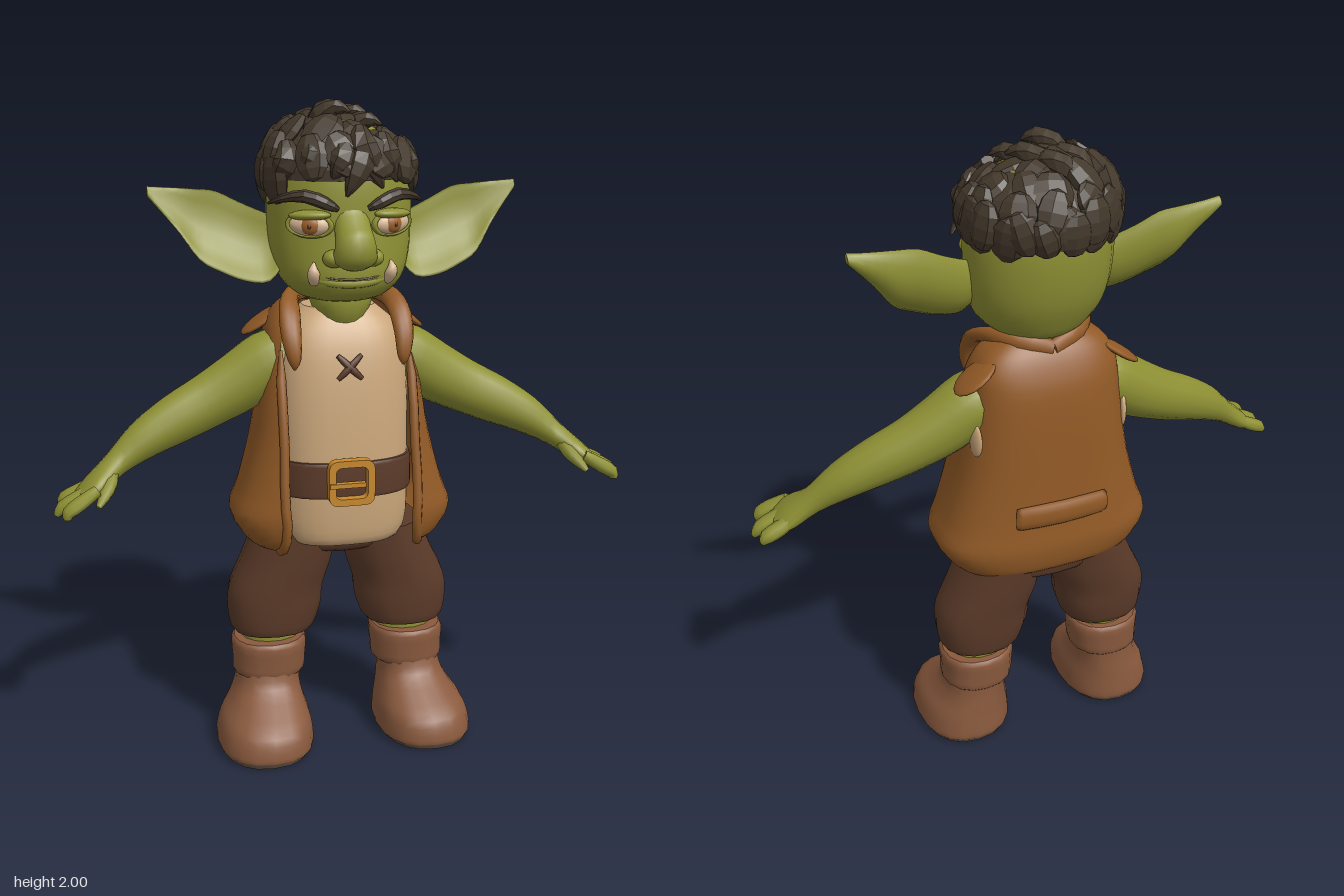
import * as THREE from 'three';

const mat = (name, color, extra = {}) => {
  const m = new THREE.MeshStandardMaterial({ color, ...extra });
  m.name = name;
  return m;
};
const V = (x, y, z) => new THREE.Vector3(x, y, z);
const pow = (v, p) => Math.sign(v) * Math.abs(v) ** p;

// Catmull-Rom smoothing of rows of numbers
function smooth(rows, steps = 3) {
  const out = [];
  for (let i = 0; i < rows.length - 1; i++) {
    const [a, b, c, d] = [-1, 0, 1, 2].map(k => rows[Math.min(rows.length - 1, Math.max(0, i + k))]);
    for (let s = 0; s < steps; s++) {
      const t = s / steps;
      out.push(b.map((_, k) => b[k] + 0.5 * t * (c[k] - a[k] + t * (2 * a[k] - 5 * b[k] + 4 * c[k] - d[k]
        + t * (3 * (b[k] - c[k]) + d[k] - a[k])))));
    }
  }
  out.push(rows[rows.length - 1]);
  return out;
}

// Skin a list of rings; closed rings get end caps
function loft(rings, closed = true) {
  const n = rings[0].length, pos = [], idx = [];
  rings.forEach(r => r.forEach(p => pos.push(p.x, p.y, p.z)));
  for (let i = 0; i < rings.length - 1; i++) {
    for (let j = 0; j < (closed ? n : n - 1); j++) {
      const k = (j + 1) % n, a = i * n + j, b = i * n + k;
      idx.push(a, a + n, b, b, a + n, b + n);
    }
  }
  if (closed) {
    [rings[0], rings[rings.length - 1]].forEach((r, end) => {
      const base = pos.length / 3, c = V(0, 0, 0);
      r.forEach(p => { c.addScaledVector(p, 1 / n); pos.push(p.x, p.y, p.z); });
      pos.push(c.x, c.y, c.z);
      for (let j = 0; j < n; j++) {
        const k = (j + 1) % n;
        idx.push(base + n, base + (end ? k : j), base + (end ? j : k));
      }
    });
  }
  const g = new THREE.BufferGeometry();
  g.setAttribute('position', new THREE.Float32BufferAttribute(pos, 3));
  g.setIndex(idx);
  g.computeVertexNormals();
  return g;
}

// Stack of horizontal rounded rings: rows of [y, x, z, rx, rz]
const stack = (rows, seg = 20, p = 1, steps = 3) => loft(smooth(rows, steps).map(([y, x, z, rx, rz]) =>
  Array.from({ length: seg }, (_, j) => {
    const a = j / seg * Math.PI * 2;
    return V(x + rx * pow(Math.cos(a), p), y, z + rz * pow(Math.sin(a), p));
  })));

// Tapered limb along a path: rows of [x, y, z, ru, rv]
function limb(rows, seg = 10, steps = 3) {
  const pts = smooth(rows, steps), at = i => V(...pts[Math.min(pts.length - 1, Math.max(0, i))]);
  return loft(pts.map((r, i) => {
    const d = at(i + 1).sub(at(i - 1)).normalize();
    const v = Math.abs(d.z) > 0.95 ? V(0, 1, 0) : V(0, 0, 1);
    v.addScaledVector(d, -v.dot(d)).normalize();
    const u = d.clone().cross(v);
    return Array.from({ length: seg }, (_, j) => {
      const a = j / seg * Math.PI * 2;
      return at(i).addScaledVector(u, r[3] * Math.cos(a)).addScaledVector(v, r[4] * Math.sin(a));
    });
  }));
}

function mirrored(g) {
  const m = g.clone().scale(-1, 1, 1), ix = m.index.array;
  for (let i = 0; i < ix.length; i += 3) [ix[i], ix[i + 1]] = [ix[i + 1], ix[i]];
  m.computeVertexNormals();
  return m;
}

export function createModel() {
  const skin = mat('green skin', 0x8e9034), linen = mat('tan linen', 0xcaa67a);
  const leather = mat('orange brown leather', 0x925a26, { side: THREE.DoubleSide });
  const cloth = mat('dark brown cloth', 0x5c3b29), boot = mat('boot leather', 0x8a5a3e);
  const hairMat = mat('dark hair', 0x43382b, { flatShading: true }), gold = mat('gold', 0xc8892f);
  const ivory = mat('ivory', 0xd8b894), amber = mat('amber', 0xa0622c), soleMat = mat('dark sole', 0x62564a);

  const root = new THREE.Group();
  root.name = 'goblin';
  const add = (name, g, m, parent = root) => {
    const mesh = new THREE.Mesh(g, m);
    mesh.name = name;
    parent.add(mesh);
    return mesh;
  };
  const pair = (name, g, m) => { add(name + 'Left', g, m); add(name + 'Right', mirrored(g), m); };
  const ball = (name, m, p, s, parent = root) => {
    const b = add(name, new THREE.SphereGeometry(1, 16, 12), m, parent);
    b.position.set(...p);
    b.scale.set(...s);
    return b;
  };

  // Boots, ankles and trousers
  pair('sole', stack([[0, .262, .05, .14, .187], [.014, .262, .05, .147, .193]], 20, .85, 1), soleMat);
  pair('boot', stack([[.012, .26, .05, .148, .192], [.03, .26, .05, .152, .197], [.09, .255, .042, .142, .185],
    [.14, .245, .01, .118, .15], [.19, .237, -.022, .102, .115], [.25, .23, -.033, .1, .105]], 20, .85), boot);
  pair('bootCuff', stack([[.215, .23, -.035, .1, .1], [.225, .23, -.035, .115, .112], [.27, .228, -.035, .117, .114],
    [.32, .228, -.035, .12, .117], [.335, .228, -.035, .11, .107]], 16, .9, 2), boot);
  pair('ankle', stack([[.3, .22, -.04, .095, .08], [.42, .22, -.04, .095, .08]], 14, 1, 1), skin);
  pair('trouserLeg', stack([[.362, .215, -.035, .115, .1], [.372, .215, -.035, .132, .117], [.44, .208, -.038, .15, .128],
    [.51, .2, -.04, .15, .133], [.6, .165, -.043, .143, .142], [.71, .135, -.045, .125, .15]], 16, .9), cloth);
  add('hips', stack([[.632, 0, -.045, .1, .11], [.66, 0, -.045, .2, .14], [.76, 0, -.04, .22, .15]], 20, .8), cloth);

  // Shirt with crossed stitches
  add('shirt', stack([[.675, 0, 0, .15, .12], [.69, 0, 0, .185, .15], [.76, 0, 0, .205, .16], [.9, 0, 0, .205, .16],
    [1.1, 0, -.005, .207, .15], [1.25, 0, -.015, .2, .138], [1.34, 0, -.025, .175, .118], [1.4, 0, -.03, .11, .085]],
    28, .75), linen);
  for (const s of [-1, 1]) {
    add('stitch', limb([[-.036 * s, 1.2, .135, .007, .007], [0, 1.235, .136, .012, .011], [.036 * s, 1.27, .128, .007, .007]], 6, 2), cloth);
    ball('armholeLining', linen, [s * .236, 1.15, -.118], [.012, .055, .028]).rotation.y = s * .3;
  }

  // Belt and buckle
  add('belt', stack([[.84, 0, 0, .212, .167], [.85, 0, 0, .216, .172], [.94, 0, 0, .216, .172], [.95, 0, 0, .212, .167]],
    28, .75, 1), cloth);
  const rounded = (path, w, h, c) => {
    path.moveTo(-w + c, -h).lineTo(w - c, -h).quadraticCurveTo(w, -h, w, -h + c).lineTo(w, h - c)
      .quadraticCurveTo(w, h, w - c, h).lineTo(-w + c, h).quadraticCurveTo(-w, h, -w, h - c)
      .lineTo(-w, -h + c).quadraticCurveTo(-w, -h, -w + c, -h);
    return path;
  };
  const frame = rounded(new THREE.Shape(), .07, .07, .032);
  frame.holes.push(rounded(new THREE.Path(), .049, .049, .02));
  add('buckle', new THREE.ExtrudeGeometry(frame, { depth: .03, bevelEnabled: false }), gold).position.set(-.008, .897, .17);
  add('buckleProng', new THREE.BoxGeometry(.11, .014, .02), gold).position.set(-.022, .892, .196);

  // Open vest: rows of [y, half width, back z, front z, half opening]
  const vestRows = smooth([[.675, .28, -.185, .168, .215], [.7, .308, -.205, .188, .205], [.77, .345, -.218, .195, .2],
    [.85, .318, -.212, .19, .205], [1, .276, -.205, .175, .2], [1.15, .25, -.2, .155, .2], [1.28, .23, -.19, .11, .195],
    [1.35, .218, -.17, .07, .175], [1.4, .185, -.145, .045, .15], [1.43, .14, -.12, .02, .12]]);
  const vestRings = vestRows.map(([y, hw, zb, zf, open]) => {
    const start = Math.asin((open / hw) ** (1 / .7)), mid = (zb + zf) / 2, d = (zf - zb) / 2;
    return Array.from({ length: 33 }, (_, j) => {
      const a = start + (Math.PI * 2 - 2 * start) * j / 32;
      return V(hw * pow(Math.sin(a), .7), y, mid + d * pow(Math.cos(a), .7));
    }).reverse();
  });
  add('vest', loft(vestRings, false), leather);
  const edge = vestRings.slice(0, 19).map(r => r[32]).filter((_, i) => i % 2 === 0);
  pair('vestEdge', limb(edge.map((p, i) => [p.x, p.y, p.z, i < edge.length - 1 ? .015 : .005, .014]), 8, 1), leather);
  pair('lapel', limb([[0, 1.41, -.13, .025, .02], [.09, 1.43, -.1, .028, .022], [.145, 1.425, -.02, .03, .022],
    [.165, 1.395, .06, .033, .02], [.17, 1.33, .11, .03, .02], [.165, 1.265, .13, .02, .016], [.165, 1.235, .128, .004, .004]]), leather);
  for (const s of [-1, 1])
    ball('shoulderFlap', leather, [s * .225, 1.345, -.095], [.075, .014, .06]).rotation.z = -s * .6;
  add('backFlap', limb([[-.14, .9, -.2, .034, .012], [-.13, .9, -.206, .04, .014], [0, .9, -.214, .042, .016],
    [.13, .9, -.206, .04, .014], [.14, .9, -.2, .034, .012]], 10, 2), leather);

  // Arms and hands
  pair('arm', limb([[.15, 1.265, -.035, .07, .09], [.21, 1.235, -.033, .092, .1], [.3, 1.175, -.028, .093, .09],
    [.4, 1.122, -.018, .084, .078], [.5, 1.076, 0, .076, .07], [.6, 1.025, .022, .06, .06], [.69, .962, .05, .038, .046],
    [.755, .912, .085, .031, .07], [.795, .885, .1, .02, .065]], 14), skin);
  [[.855, .85, .045, .05], [.868, .838, .115, .1], [.838, .845, .188, .15]].forEach(([x, y, z, z0]) =>
    pair('finger', limb([[.75, .915, z0, .018, .024], [.8, .887, (z + z0) / 2, .022, .03],
      [(x + .8) / 2 + .015, (y + .885) / 2, z * .8 + z0 * .2, .02, .027], [x, y, z, .009, .014]], 8, 2), skin));
  pair('thumb', limb([[.7, .95, .07, .02, .02], [.71, .925, .12, .022, .022], [.73, .9, .155, .018, .018], [.75, .875, .18, .008, .008]], 8, 2), skin);

  // Neck and head
  add('neck', stack([[1.3, 0, -.02, .07, .07], [1.37, 0, .015, .075, .075], [1.42, 0, .01, .095, .09], [1.47, 0, .01, .09, .085]], 16), skin);
  add('head', stack([[1.422, 0, .005, .07, .08], [1.44, 0, .008, .13, .135], [1.49, 0, .008, .182, .168], [1.56, 0, -.008, .207, .182],
    [1.65, 0, -.02, .215, .187], [1.75, 0, -.022, .213, .187], [1.84, 0, -.02, .19, .165], [1.92, 0, -.02, .1, .09]], 28, .95), skin);

  // Cupped ears: rows of [x, top y, top z, bottom y, bottom z]
  const earRows = smooth([[.17, 1.66, -.015, 1.54, .035], [.22, 1.675, -.03, 1.485, .055], [.29, 1.705, -.048, 1.488, .058],
    [.36, 1.738, -.055, 1.515, .045], [.42, 1.745, -.057, 1.55, .025], [.48, 1.75, -.058, 1.635, -.01], [.557, 1.755, -.055, 1.728, -.045]]);
  pair('ear', loft(earRows.map(([x, yt, zt, yb, zb]) => {
    const half = V(0, (yt - yb) / 2, (zt - zb) / 2), n = V(0, half.z, -half.y).normalize();
    return Array.from({ length: 16 }, (_, j) => {
      const a = j / 16 * Math.PI * 2, s = Math.cos(a);
      return V(x, (yt + yb) / 2, (zt + zb) / 2).addScaledVector(half, s)
        .addScaledVector(n, .016 * Math.sin(a) + half.length() * .36 * (1 - s * s));
    });
  })), skin);

  // Nose, mouth and tusks
  add('nose', limb([[0, 1.74, .125, .05, .02], [0, 1.68, .14, .052, .032], [0, 1.635, .17, .054, .04], [0, 1.595, .198, .06, .05],
    [0, 1.562, .184, .064, .044], [0, 1.538, .165, .03, .02]], 16), skin);
  const smile = (y, dz, r) => [-.125, -.065, 0, .065, .125].map((x, i) =>
    [x, y + .018 * (x / .125) ** 2, .172 + dz - 2.4 * x * x, i % 4 ? r : r * .5, i % 4 ? r : r * .5]);
  add('lowerLip', limb(smile(1.487, -.005, .013), 8), skin);
  add('mouthLine', limb(smile(1.501, .005, .003), 6), cloth);
  for (const s of [-1, 1]) {
    ball('nostril', skin, [s * .056, 1.562, .17], [.034, .026, .032]);
    // Eye set into the face, with a heavy upper lid
    const eye = new THREE.Group();
    eye.name = 'eye';
    eye.position.set(s * .12, 1.655, .137);
    eye.rotation.set(0, s * .4, s * .06);
    root.add(eye);
    ball('eyeball', ivory, [0, 0, 0], [.061, .031, .025], eye);
    ball('iris', amber, [-s * .004, 0, .014], [.029, .026, .015], eye);
    ball('pupil', hairMat, [-s * .004, -.002, .025], [.007, .008, .006], eye);
    ball('upperLid', skin, [0, .028, .006], [.062, .015, .03], eye).rotation.z = -s * .08;
    add('eyeRim', new THREE.TorusGeometry(.063, .008, 8, 20), skin, eye).scale.set(1, .54, 1.5);
  }
  pair('tusk', limb([[.108, 1.492, .14, .014, .014], [.114, 1.515, .162, .019, .017], [.116, 1.533, .166, .014, .013], [.112, 1.552, .16, .003, .003]], 8, 2), ivory);
  pair('eyebrow', limb([[.045, 1.7, .165, .008, .01], [.08, 1.717, .17, .018, .015], [.135, 1.737, .15, .019, .016],
    [.19, 1.729, .112, .012, .014], [.225, 1.712, .07, .004, .005]], 8, 2), hairMat);

  // Hair: a peaked cap covered with broad overlapping tufts
  const hair = new THREE.Group();
  hair.name = 'hair';
  root.add(hair);
  const cap = add('hairCap', new THREE.SphereGeometry(1, 18, 8, 0, Math.PI * 2, 0, Math.PI * .53), hairMat, hair);
  cap.scale.set(.215, .145, .198);
  cap.position.set(0, 1.79, -.025);
  let seed = 11;
  const rnd = () => (seed = (seed * 16807) % 2147483647) / 2147483647;
  const tuftGeo = new THREE.SphereGeometry(1, 7, 6);
  [[.35, 5], [.8, 9], [1.2, 12], [1.5, 14], [1.72, 14]].forEach(([t, count], row) => {
    for (let i = 0; i < count; i++) {
      const a = (i + rnd() * .5 + row * .5) / count * Math.PI * 2, th = t + (rnd() - .5) * .14;
      if (row > 2 && Math.sin(a) > .4) continue;
      const n = V(Math.sin(th) * Math.cos(a), Math.cos(th), Math.sin(th) * Math.sin(a));
      const down = V(Math.cos(th) * Math.cos(a), -Math.sin(th), Math.cos(th) * Math.sin(a));
      down.applyAxisAngle(n, (rnd() - .5) * 1.1);
      const tuft = add('tuft', tuftGeo, hairMat, hair);
      tuft.position.set(n.x * .22, 1.793 + n.y * .143 - n.x * n.y * .04, -.025 + n.z * .2);
      tuft.quaternion.setFromRotationMatrix(new THREE.Matrix4().makeBasis(down.clone().cross(n), down, n));
      tuft.scale.set(.046 + rnd() * .016, .058 + rnd() * .016, .018 + rnd() * .016);
    }
  });
  // Swept fringe locks: [root x, root y, tip x, tip y]
  [[-.17, 1.83, -.2, 1.77], [-.1, 1.85, -.13, 1.785], [-.02, 1.85, -.06, 1.785], [.03, 1.85, -.02, 1.735],
    [.03, 1.87, .09, 1.755], [.1, 1.85, .14, 1.77], [.17, 1.82, .2, 1.765]]
    .forEach(([x0, y0, x1, y1]) => add('fringeLock', limb([[x0, y0 + .05, .12 - x0 * x0 * 2, .02, .015], [x0, y0, .165 - x0 * x0 * 2.4, .042, .024],
      [(x0 + x1) / 2, (y0 + y1) / 2, .178 - x1 * x1 * 2.4, .034, .02], [x1, y1, .172 - x1 * x1 * 2.4, .004, .004]], 7, 2), hairMat, hair));
  // Crown tufts rising to a ragged peak
  [[-.08, -.05, 1.94], [-.04, .03, 1.965], [.03, -.03, 1.95], [-.02, -.09, 1.94], [.05, .04, 1.93]].forEach(([x, z, y]) =>
    add('crownTuft', limb([[x - .04, y - .045, z - .05, .02, .03], [x - .015, y - .01, z - .02, .035, .045],
      [x + .025, y + .01, z + .01, .022, .03], [x + .055, y - .005, z + .035, .004, .006]], 7, 2), hairMat, hair));
  return root;
}
